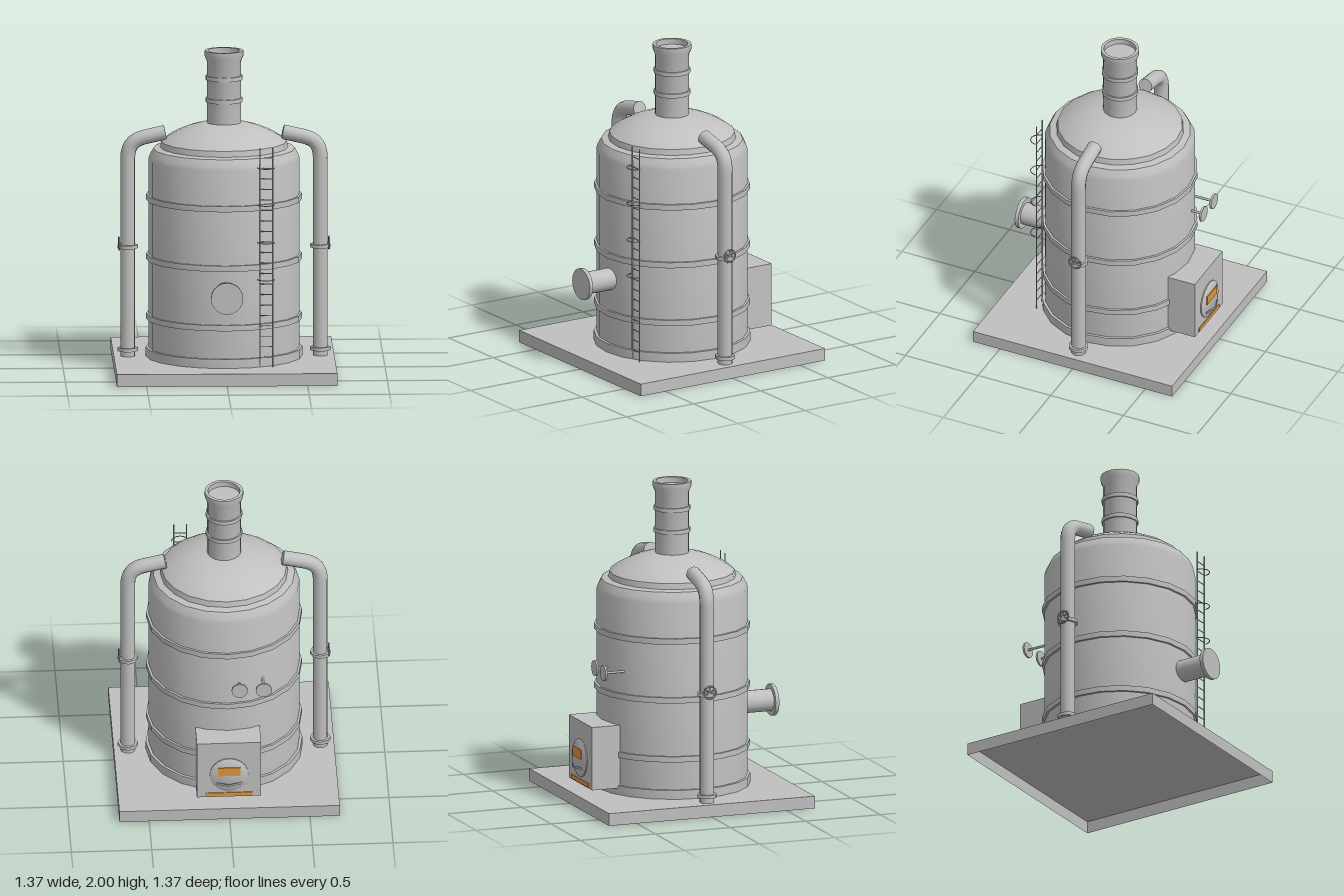
import * as THREE from 'three';
import { toCreasedNormals } from 'three/addons/utils/BufferGeometryUtils.js';

export function createModel() {
  const model = new THREE.Group();
  model.name = 'boilerTower';
  const metal = new THREE.MeshStandardMaterial({ color: 0xc0c0c0, side: THREE.DoubleSide });
  metal.name = 'grey metal';
  const orange = new THREE.MeshStandardMaterial({ color: 0xe0963a });
  orange.name = 'orange panel';

  const add = (name, geo, x = 0, y = 0, z = 0, parent = model, mat = metal) => {
    const mesh = new THREE.Mesh(geo, mat);
    mesh.name = name;
    mesh.position.set(x, y, z);
    parent.add(mesh);
    return mesh;
  };
  const lathe = (pts, sides) => toCreasedNormals(
    new THREE.LatheGeometry(pts.map(([r, y]) => new THREE.Vector2(r, y)), sides), 0.55);
  const rod = (r, len, sides = 8) => new THREE.CylinderGeometry(r, r, len, sides);
  const rodX = (r, len, sides) => rod(r, len, sides).rotateZ(Math.PI / 2);
  const rodZ = (r, len, sides) => rod(r, len, sides).rotateX(Math.PI / 2);
  const box = (w, h, d) => new THREE.BoxGeometry(w, h, d);

  // Hollow base slab, open underneath
  add('baseTop', new THREE.PlaneGeometry(1.37, 1.37).rotateX(-Math.PI / 2), 0, 0.078, 0);
  for (let i = 0; i < 4; i++) {
    const side = new THREE.PlaneGeometry(1.37, 0.078).translate(0, 0.039, 0.685);
    add('baseSide', side.rotateY(i * Math.PI / 2));
  }

  // Tank with chamfered shoulder, and dome
  add('tank', lathe([[0.47, 0.078], [0.47, 1.32], [0.462, 1.345], [0.44, 1.385], [0.39, 1.395]], 20));
  add('dome', lathe([[0.4, 1.38], [0.39, 1.43], [0.345, 1.463], [0.29, 1.493],
    [0.23, 1.518], [0.16, 1.538], [0.08, 1.55], [0, 1.553]], 20));

  // Reinforcing bands
  const band = (name, r, inner, y0, y1) =>
    add(name, lathe([[inner, y0], [r, y0], [r, y1], [inner, y1]], 20));
  band('footBand', 0.487, 0.46, 0.078, 0.135);
  for (const y of [0.33, 0.705, 1.08]) band('tankBand', 0.484, 0.46, y - 0.018, y + 0.018);

  // Chimney with collar and recessed mouth
  add('chimney', lathe([[0.105, 1.52], [0.105, 1.93], [0.12, 1.965], [0.12, 2], [0.1, 2],
    [0.1, 1.965], [0, 1.965]], 20));
  for (const y of [1.69, 1.83]) band('chimneyBand', 0.114, 0.1, y - 0.013, y + 0.013);

  // Side pipes with flanges and valve wheels
  for (const s of [1, -1]) {
    const pipe = new THREE.Group();
    pipe.name = s > 0 ? 'leftPipe' : 'rightPipe';
    model.add(pipe);
    const path = new THREE.CurvePath();
    const v = (x, y) => new THREE.Vector3(s * x, y, 0);
    path.add(new THREE.LineCurve3(v(0.598, 0.078), v(0.598, 1.32)));
    path.add(new THREE.CubicBezierCurve3(v(0.598, 1.32), v(0.598, 1.41), v(0.56, 1.44), v(0.49, 1.457)));
    path.add(new THREE.LineCurve3(v(0.49, 1.457), v(0.364, 1.485)));
    add('pipe', new THREE.TubeGeometry(path, 60, 0.046, 12), 0, 0, 0, pipe);
    add('pipeEnd', new THREE.CircleGeometry(0.046, 12).rotateY(-s * Math.PI / 2).rotateZ(-s * 0.22),
      s * 0.364, 1.485, 0, pipe);
    for (const y of [0.12, 0.768]) add('pipeFlange', rod(0.063, 0.022, 8), s * 0.598, y, 0, pipe);
    add('valveStem', rodX(0.01, 0.06), s * 0.625, 0.785, 0, pipe);
    add('valveWheel', new THREE.TorusGeometry(0.04, 0.005, 6, 16).rotateY(Math.PI / 2), s * 0.652, 0.785, 0, pipe);
    for (let i = 0; i < 3; i++)
      add('valveSpoke', rod(0.004, 0.08, 6).rotateX(i * Math.PI / 3), s * 0.652, 0.785, 0, pipe);
  }

  // Front nozzle
  add('nozzle', rodZ(0.07, 0.26, 20), 0, 0.55, 0.53);
  add('nozzleFlange', rodZ(0.1, 0.024, 20), 0, 0.55, 0.665);

  // Ladder with rungs and half hoops
  const ladder = new THREE.Group();
  ladder.name = 'ladder';
  model.add(ladder);
  for (const x of [0.21, 0.29]) add('ladderRail', rod(0.004, 1.38, 6), x, 0.768, 0.435, ladder);
  for (let i = 0; i < 20; i++) add('ladderRung', rodX(0.003, 0.08, 6), 0.25, 0.14 + i * 0.066, 0.435, ladder);
  for (const y of [0.63, 0.863, 1.1, 1.333])
    add('ladderHoop', new THREE.TorusGeometry(0.053, 0.003, 6, 16, Math.PI).rotateX(Math.PI / 2),
      0.25, y, 0.437, ladder);

  // Firebox at the back
  const firebox = new THREE.Group();
  firebox.name = 'firebox';
  model.add(firebox);
  add('fireboxBody', box(0.4, 0.4, 0.185), 0, 0.318, -0.5175, firebox);
  add('fireboxDoor', lathe([[0.12, 0], [0.12, 0.008], [0.1, 0.02], [0, 0.022]], 20).rotateX(-Math.PI / 2),
    0, 0.285, -0.609, firebox);
  add('doorPanel', box(0.14, 0.06, 0.006), 0, 0.318, -0.632, firebox, orange);
  add('ashStrip', box(0.29, 0.026, 0.006), 0, 0.137, -0.612, firebox, orange);
  for (const s of [1, -1]) {
    const bar = add('doorHandle', box(0.084, 0.012, 0.006), s * 0.039, 0.232, -0.645, firebox);
    bar.rotation.y = -s * 0.3;
  }

  // Two hand valves on the back wall
  for (const x of [-0.22, -0.07]) {
    add('handValveStem', rodZ(0.008, 0.14), x, 0.863, -0.47);
    add('handValveWheel', rodZ(0.05, 0.012, 16), x, 0.863, -0.54);
  }
  return model;
}
